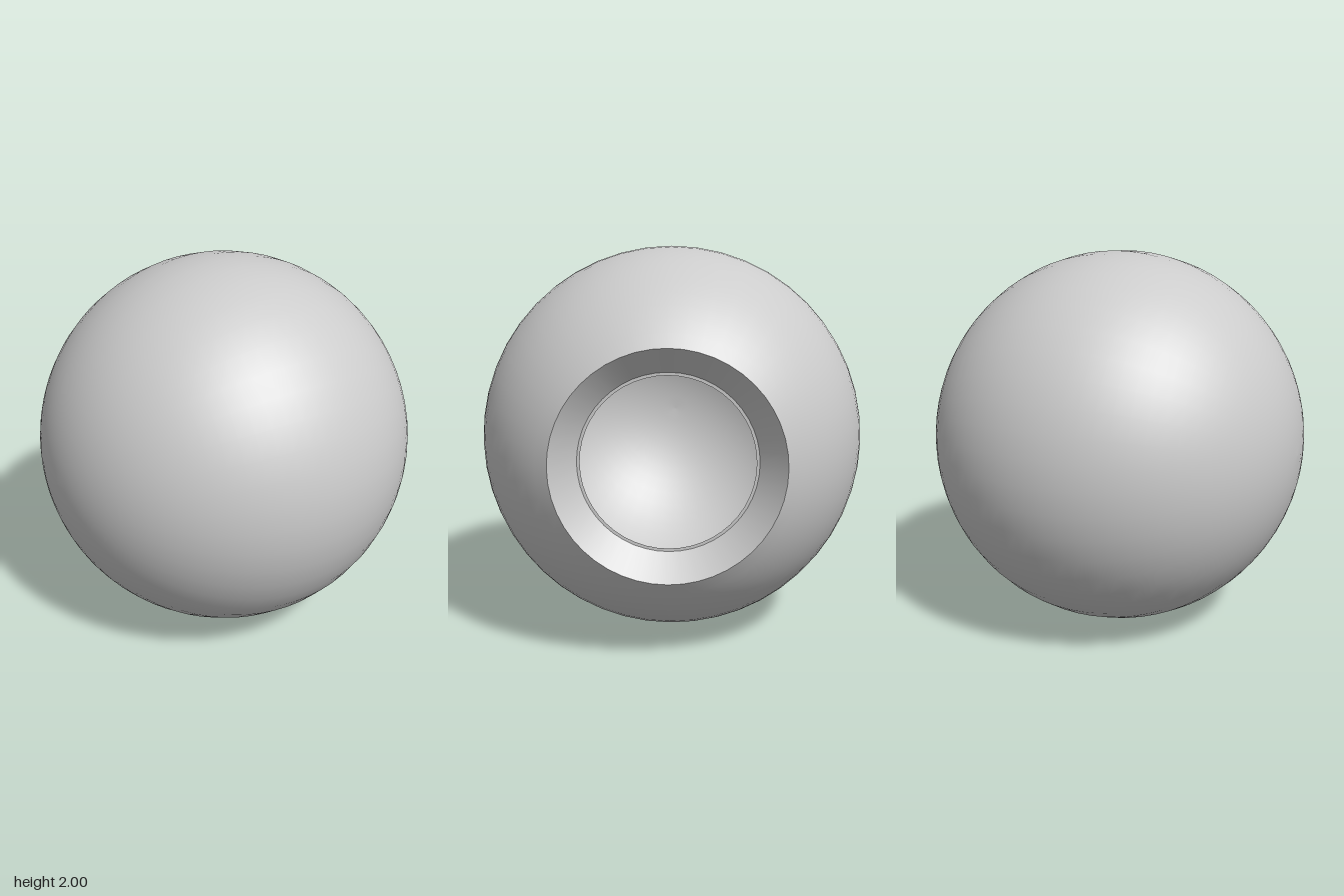
import * as THREE from 'three';

const SEGMENTS = 48;
const CENTRE_X = 0.083;   // sphere centre, so the cut ball is centred on x = 0
const RIM_R = 0.553;      // outer edge of the bevelled opening
const THROAT_R = 0.43;    // inner edge of the bevel
const LIP_R = 0.415;      // edge of the thin lip around the cavity
const THROAT_X = 0.713;   // depth of the throat along the axis

// Points of a circular arc from the far pole (-axis) to an opening of radius r
function arcToOpening(radius, openingR, steps) {
  const end = Math.PI - Math.asin(openingR / radius);
  return Array.from({ length: steps + 1 }, (_, i) => {
    const a = (end * i) / steps;
    return new THREE.Vector2(Math.max(0, radius * Math.sin(a)), -radius * Math.cos(a));
  });
}

export function createModel() {
  const group = new THREE.Group();
  group.name = 'hollowBall';
  const material = new THREE.MeshStandardMaterial({ color: 0xcccccc });

  // Revolve a profile and lay its axis along +x
  function addRevolved(name, points) {
    const geometry = new THREE.LatheGeometry(points, SEGMENTS);
    geometry.rotateZ(-Math.PI / 2);
    geometry.translate(CENTRE_X, 1, 0);
    const mesh = new THREE.Mesh(geometry, material);
    mesh.name = name;
    group.add(mesh);
  }

  const rimX = Math.sqrt(1 - RIM_R * RIM_R);
  const cavityR = Math.hypot(THROAT_X, LIP_R);

  // Outer shell, cut off at the opening
  addRevolved('outerShell', arcToOpening(1, RIM_R, 32));

  // Conical bevel leading into the opening
  addRevolved('bevel', [
    new THREE.Vector2(RIM_R, rimX),
    new THREE.Vector2(THROAT_R, THROAT_X),
  ]);

  // Thin flat lip at the bottom of the bevel
  addRevolved('lip', [
    new THREE.Vector2(THROAT_R, THROAT_X),
    new THREE.Vector2(LIP_R, THROAT_X),
  ]);

  // Spherical cavity, profile reversed so it faces inward
  addRevolved('cavity', arcToOpening(cavityR, LIP_R, 28).reverse());

  return group;
}
